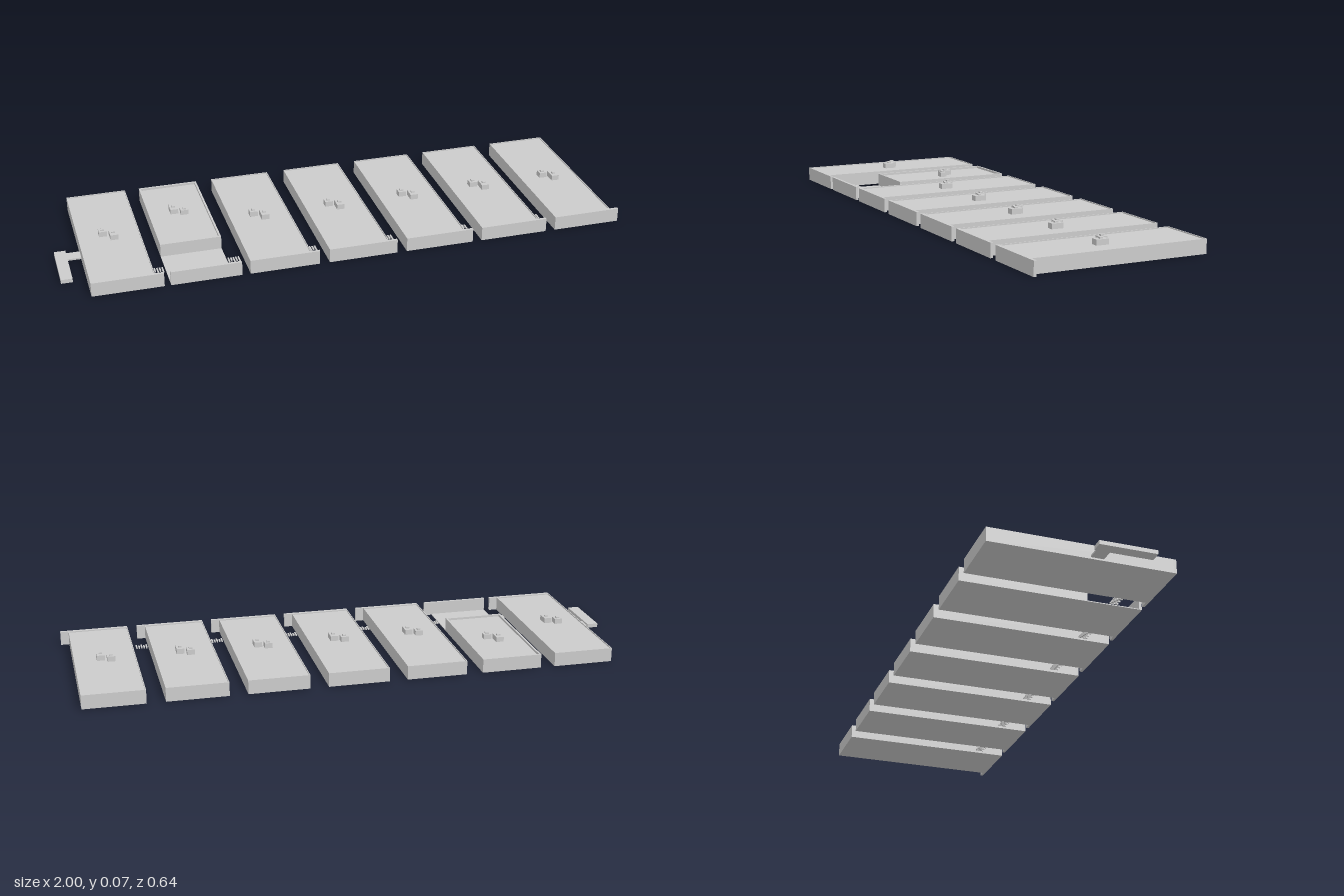
import * as THREE from 'three';

const mat = new THREE.MeshStandardMaterial({ color: 0xcccccc, flatShading: true });

// Box given by its min and max corners
function box(parent, name, x0, x1, y0, y1, z0, z1) {
  const m = new THREE.Mesh(new THREE.BoxGeometry(x1 - x0, y1 - y0, z1 - z0), mat);
  m.position.set((x0 + x1) / 2, (y0 + y1) / 2, (z0 + z1) / 2);
  m.name = name;
  parent.add(m);
}

const W = 0.216, H = 0.05, BACK = -0.32, FRONT = 0.32, WALL = 0.01;

// Solid block with a roof sunk behind a thin parapet
function block(unit, z1, roofY, rim) {
  box(unit, 'body', 0, W, 0, roofY, BACK, z1);
  box(unit, 'parapetRight', 0, rim, roofY, H, BACK, z1);
  box(unit, 'parapetLeft', W - rim, W, roofY, H, BACK, z1);
  box(unit, 'parapetBack', rim, W - rim, roofY, H, BACK, BACK + rim);
  box(unit, 'parapetFront', rim, W - rim, roofY, H, z1 - rim, z1);
}

// Pair of rooftop air units, each with a small cap
function airUnits(unit, roofY, top, rects) {
  for (const [x0, x1, z0, z1] of rects) {
    box(unit, 'airUnit', x0, x1, roofY, top, z0, z1);
    const cx = (x0 + x1) / 2, cz = (z0 + z1) / 2;
    box(unit, 'airUnitCap', cx - 0.006, cx + 0.006, top, top + 0.005, cz - 0.006, cz + 0.006);
  }
}

export function createModel() {
  const model = new THREE.Group();
  model.name = 'rowOfUnits';
  const starts = [-0.912, -0.644, -0.369, -0.088, 0.193, 0.473, 0.754];

  starts.forEach((x, i) => {
    const unit = new THREE.Group();
    unit.name = 'unit' + (i + 1);
    unit.position.x = x;
    model.add(unit);

    // Front wall runs past the body on one side
    box(unit, 'frontWall', 0, W + 0.03, 0, H, FRONT - WALL, FRONT);

    if (i === 1) {
      // Shorter unit with an open yard behind its front wall
      block(unit, 0.125, 0.042, 0.007);
      box(unit, 'yardFloor', 0, W, 0, 0.003, 0.125, FRONT - WALL);
      airUnits(unit, 0.042, 0.06, [[0.079, 0.107, -0.145, -0.1], [0.114, 0.142, -0.108, -0.085]]);
    } else {
      block(unit, FRONT - WALL, 0.046, 0.003);
      airUnits(unit, 0.046, 0.065, [[0.074, 0.102, -0.023, 0.005], [0.109, 0.137, -0.006, 0.038]]);
    }

    // Narrow ground slats in the gap to the next unit
    if (i < starts.length - 1) {
      for (let k = 0; k < 5; k++) {
        const s = W + 0.004 + k * 0.009;
        box(unit, 'slat', s, s + 0.005, 0, 0.005, 0.2, k % 2 ? 0.222 : 0.23);
      }
    }
  });

  // L-shaped end walkway
  box(model, 'walkwayArm', -0.96, -0.912, 0.006, 0.012, 0.025, 0.07);
  box(model, 'walkwayLanding', -1, -0.96, 0.004, 0.018, 0.017, 0.215);
  return model;
}
